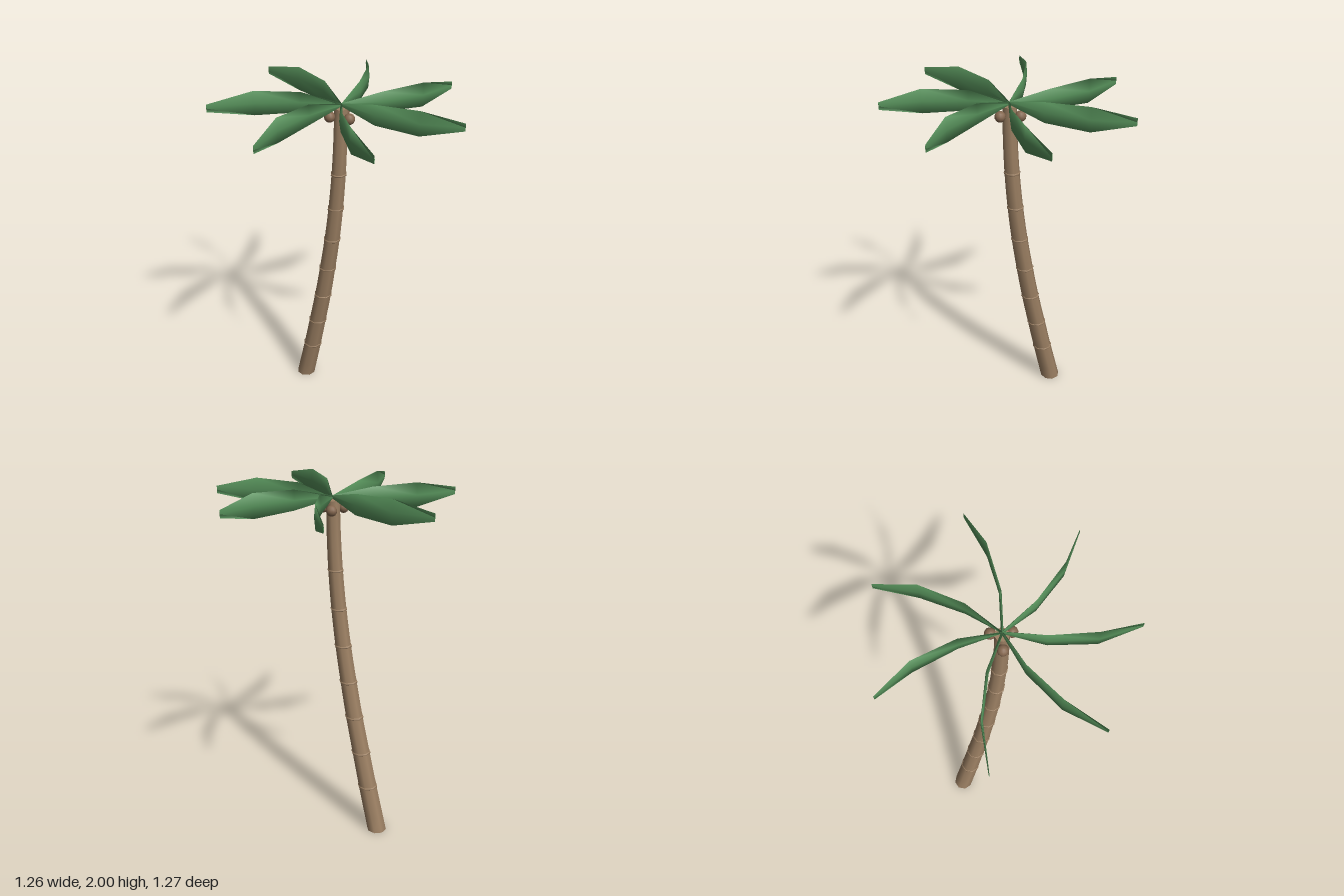
import * as THREE from 'three';

const bark = new THREE.MeshStandardMaterial({ color: 0x9c8063 });
const husk = new THREE.MeshStandardMaterial({ color: 0x84674f });
const leaf = new THREE.MeshStandardMaterial({ color: 0x56905a });

// Skin a list of cross-sections (arrays of Vector3) and cap both ends.
function loft(sections) {
  const n = sections[0].length;
  const last = sections.length - 1;
  const points = sections.flat();
  const index = [];
  for (let i = 0; i < last; i++) {
    for (let j = 0; j < n; j++) {
      const a = i * n + j, b = i * n + (j + 1) % n;
      index.push(a, b, b + n, a, b + n, a + n);
    }
  }
  // Separate cap corners keep the end edges sharp.
  const start = points.length;
  points.push(...sections[0], ...sections[last]);
  for (let j = 1; j < n - 1; j++) {
    index.push(start, start + j + 1, start + j);
    index.push(start + n, start + n + j, start + n + j + 1);
  }
  const geometry = new THREE.BufferGeometry().setFromPoints(points);
  geometry.setIndex(index);
  geometry.computeVertexNormals();
  return geometry;
}

function addMesh(parent, name, geometry, material) {
  const mesh = new THREE.Mesh(geometry, material);
  mesh.name = name;
  parent.add(mesh);
  return mesh;
}

const CROWN = new THREE.Vector3(0.02, 1.935, -0.02);
const SIDES = 8;

// Leaning centre line of the trunk, and its taper.
const spine = new THREE.CatmullRomCurve3([
  [-0.3, 0], [-0.23, 0.275], [-0.18, 0.485], [-0.13, 0.7], [-0.088, 0.91],
  [-0.05, 1.12], [-0.02, 1.33], [0.002, 1.545], [0.014, 1.75], [0.018, 1.92],
].map(([x, y]) => new THREE.Vector3(x, y, -0.018)));
const trunkRadius = (y) => 0.057 - 0.0105 * y;

function trunkSection(center, radius) {
  return Array.from({ length: SIDES }, (_, j) => {
    const a = ((j + 0.5) / SIDES) * Math.PI * 2;
    return new THREE.Vector3(center.x + Math.sin(a) * radius, center.y, center.z + Math.cos(a) * radius);
  });
}

// Frond: an upright, thin blade that curves sideways on its way out.
function frondGeometry(degrees, length) {
  const stations = [ // distance, turn in degrees, half height, half thickness
    [0, 14, 0.008, 0.006],
    [0.21, 14, 0.054, 0.007],
    [0.443, 7, 0.065, 0.006],
    [length, 0, 0.02, 0.002],
  ];
  const path = stations.map(([d, turn]) => {
    const a = THREE.MathUtils.degToRad(degrees + turn);
    return new THREE.Vector3(CROWN.x + Math.cos(a) * d, CROWN.y, CROWN.z + Math.sin(a) * d);
  });
  const up = new THREE.Vector3(0, 1, 0);
  return loft(stations.map(([, , h, t], i) => {
    const dir = path[Math.min(i + 1, 3)].clone().sub(path[Math.max(i - 1, 0)]).normalize();
    const side = up.clone().cross(dir);
    return [[t, 0], [0, h], [-t, 0], [0, -h]].map(([s, y]) =>
      path[i].clone().addScaledVector(side, s).addScaledVector(up, y));
  }));
}

export function createModel() {
  const tree = new THREE.Group();
  tree.name = 'palmTree';

  // Trunk
  const centers = spine.getPoints(27);
  addMesh(tree, 'trunk', loft(centers.map((p) => trunkSection(p, trunkRadius(p.y)))), bark);

  // Raised bark rings
  const rings = new THREE.Group();
  rings.name = 'barkRings';
  for (let i = 1; i <= 7; i++) {
    const p = spine.getPoint(i / 9);
    const r = trunkRadius(p.y);
    const band = [[-0.006, 0], [-0.003, 0.004], [0.003, 0.004], [0.006, 0]].map(([dy, dr]) =>
      trunkSection(new THREE.Vector3(p.x + dy * 0.2, p.y + dy, p.z), r + dr));
    addMesh(rings, 'barkRing', loft(band), bark);
  }
  tree.add(rings);

  // Coconuts under the crown
  const coconuts = new THREE.Group();
  coconuts.name = 'coconuts';
  for (let i = 0; i < 3; i++) {
    const a = (i * Math.PI * 2) / 3;
    const nut = addMesh(coconuts, 'coconut', new THREE.SphereGeometry(0.029, 12, 8), husk);
    nut.position.set(0.017 + Math.cos(a) * 0.06, 1.876, -0.02 + Math.sin(a) * 0.06);
  }
  tree.add(coconuts);

  // Fronds
  const fronds = new THREE.Group();
  fronds.name = 'fronds';
  const layout = [[-71.6, 0.65], [-20.2, 0.65], [31.5, 0.65], [80.5, 0.664], [129.8, 0.675], [185.7, 0.652], [236.5, 0.653]];
  for (const [degrees, length] of layout) {
    addMesh(fronds, 'frond', frondGeometry(degrees, length), leaf);
  }
  tree.add(fronds);

  return tree;
}
